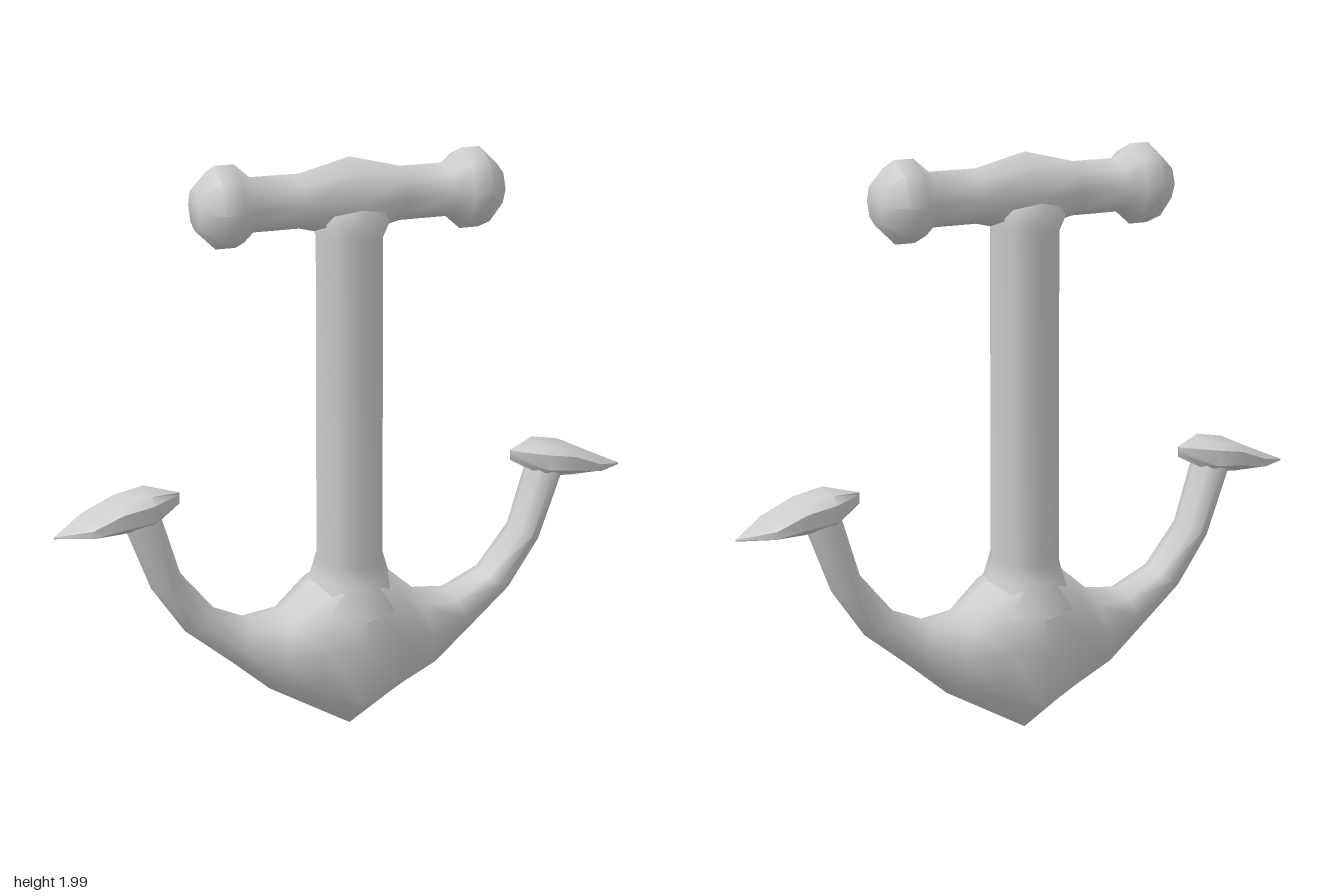
import * as THREE from 'three';
import { toCreasedNormals } from 'three/addons/utils/BufferGeometryUtils.js';

const material = new THREE.MeshStandardMaterial({ color: 0xcccccc, side: THREE.DoubleSide });

// Skin a row of equal-length closed rings, ordered along +x
function loft(rings, crease) {
  const n = rings[0].length, index = [];
  for (let i = 0; i < rings.length - 1; i++) {
    for (let j = 0; j < n; j++) {
      const a = i * n + j, b = i * n + (j + 1) % n;
      index.push(a, b, b + n, a, b + n, a + n);
    }
  }
  const geometry = new THREE.BufferGeometry();
  geometry.setAttribute('position', new THREE.Float32BufferAttribute(rings.flat(2), 3));
  geometry.setIndex(index);
  geometry.computeVertexNormals();
  return toCreasedNormals(geometry, crease);
}

// Ring between a bottom and a top point; profile rows are [height fraction, width fraction]
function ring(bottom, top, halfWidth, profile) {
  const at = ([t, w], side) => [
    bottom[0] + (top[0] - bottom[0]) * t,
    bottom[1] + (top[1] - bottom[1]) * t,
    side * w * halfWidth,
  ];
  const front = [...profile].reverse().map((p) => at(p, 1));
  const back = profile.filter(([t, w]) => w > 0).map((p) => at(p, -1));
  return [...front, ...back];
}

function lathe(points) {
  return new THREE.LatheGeometry(points.map(([r, y]) => new THREE.Vector2(r, y)), 8);
}

export function createModel() {
  const group = new THREE.Group();
  const add = (name, geometry) => {
    const mesh = new THREE.Mesh(geometry, material);
    mesh.name = name;
    group.add(mesh);
    return mesh;
  };

  // Shank, flared at both ends
  const shank = add('shank', lathe([
    [0.17, 0.46], [0.135, 0.57], [0.118, 0.63], [0.114, 1.74], [0.135, 1.79], [0.1, 1.86],
  ]));
  shank.scale.z = 1.1;

  // Stock with a swollen middle and ball ends
  const half = [[0.13, 0], [0.088, 0.17], [0.088, 0.33], [0.132, 0.38], [0.132, 0.445], [0.068, 0.51], [0, 0.51]];
  const stock = add('stock', toCreasedNormals(
    lathe([...half.slice(1).reverse().map(([r, y]) => [r, -y]), ...half]), 1.0));
  stock.rotation.z = Math.PI / 2;
  stock.position.y = 1.855;

  // Crown and both arms in one sweep: outer point, inner point, half width, roundness
  const crown = [[0, 0], [0.22, 0.85], [0.57, 1], [0.93, 0.72], [1, 0]];
  const round = [[0, 0], [0.15, 0.72], [0.5, 1], [0.85, 0.72], [1, 0]];
  const stations = [
    [[0, 0], [0, 0.62], 0.195, 0],
    [[0.145, 0.09], [0.125, 0.57], 0.157, 0.3],
    [[0.29, 0.18], [0.23, 0.475], 0.125, 0.7],
    [[0.42, 0.3], [0.36, 0.455], 0.095, 1],
    [[0.58, 0.44], [0.48, 0.51], 0.077, 1],
    [[0.69, 0.61], [0.59, 0.65], 0.075, 1],
    [[0.775, 0.85], [0.655, 0.88], 0.075, 1],
  ];
  const section = ([outer, inner, width, k], side) => ring(
    [side * outer[0], outer[1]], [side * inner[0], inner[1]], width,
    crown.map((p, i) => p.map((v, j) => v + (round[i][j] - v) * k)));
  add('crownAndArms', loft([
    ...stations.slice(1).reverse().map((s) => section(s, -1)),
    ...stations.map((s) => section(s, 1)),
  ], 1.0));

  // Flukes: pointed at heel and tip; rows are x, bottom, top, half width
  const slab = [[0, 0.5], [0.3, 1], [0.8, 1], [1, 0.65]];
  const fluke = loft([
    [0.585, 0.895, 0.932, 0.002],
    [0.69, 0.84, 0.95, 0.087],
    [0.79, 0.831, 0.93, 0.087],
    [0.89, 0.83, 0.88, 0.085],
    [1, 0.828, 0.834, 0.002],
  ].map(([x, low, high, width]) => ring([x, low], [x, high], width, slab)), 0.8);
  add('leftFluke', fluke);
  add('rightFluke', fluke).rotation.y = Math.PI;

  return group;
}
